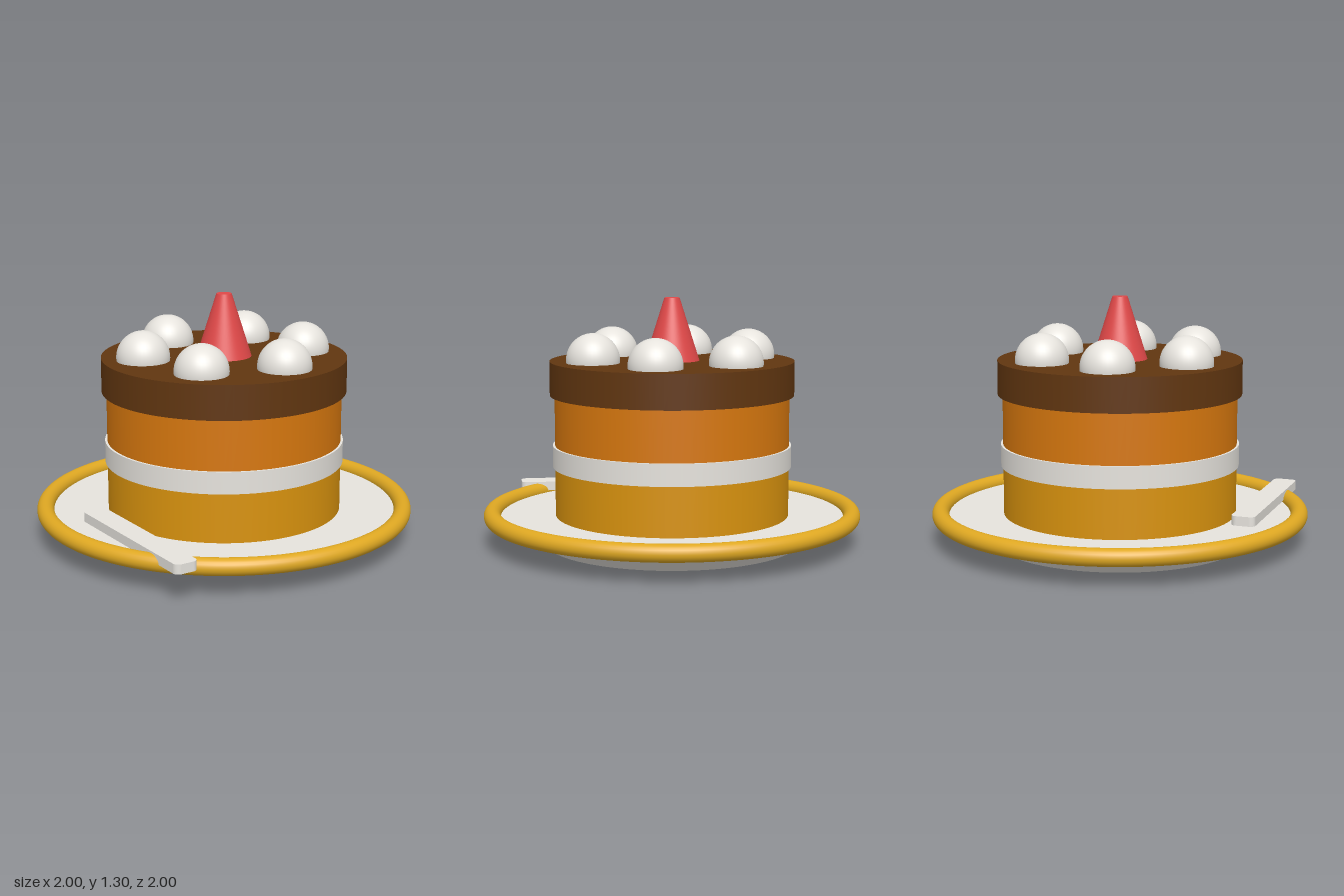
import * as THREE from 'three';

const mat = (name, color) => {
  const m = new THREE.MeshStandardMaterial({ color });
  m.name = name;
  return m;
};

export function createModel() {
  const group = new THREE.Group();
  const cream = mat('cream', 0xe6e3dd);
  const gold = mat('gold', 0xdfa822);
  const yellowSponge = mat('yellow sponge', 0xd8920e);
  const orangeSponge = mat('orange sponge', 0xd6770e);
  const chocolate = mat('chocolate', 0x613610);
  const red = mat('red', 0xe04848);

  const add = (name, geometry, material, x = 0, y = 0, z = 0) => {
    const mesh = new THREE.Mesh(geometry, material);
    mesh.name = name;
    mesh.position.set(x, y, z);
    group.add(mesh);
    return mesh;
  };
  // Round slab from y0 to y1
  const disc = (name, rTop, rBottom, y0, y1, material) =>
    add(name, new THREE.CylinderGeometry(rTop, rBottom, y1 - y0, 96), material, 0, (y0 + y1) / 2, 0);

  // Plate with a gold rim
  disc('plate', 0.97, 0.68, 0, 0.15, cream);
  add('plateRim', new THREE.TorusGeometry(0.955, 0.045, 24, 128).rotateX(Math.PI / 2), gold, 0, 0.155, 0);

  // Cake layers
  disc('lowerSponge', 0.62, 0.62, 0.15, 0.415, yellowSponge);
  disc('creamFilling', 0.632, 0.632, 0.41, 0.525, cream);
  disc('upperSponge', 0.62, 0.62, 0.52, 0.795, orangeSponge);
  disc('chocolateTop', 0.645, 0.645, 0.79, 0.97, chocolate);

  // Ring of cream balls around a cone
  for (let i = 0; i < 6; i++) {
    const a = (i * Math.PI) / 3;
    add('creamBall', new THREE.SphereGeometry(0.14, 40, 28), cream,
      0.433 * Math.cos(a), 0.985, 0.433 * Math.sin(a));
  }
  disc('centreCone', 0.04, 0.146, 0.965, 1.3, red);

  // Flat knife resting on the plate and rim
  const hl = 0.465, hw = 0.063, r = 0.03;
  const outline = new THREE.Shape();
  outline.absarc(hl - r, hw - r, r, 0, Math.PI / 2);
  outline.absarc(-hl + r, hw - r, r, Math.PI / 2, Math.PI);
  outline.absarc(-hl + r, -hw + r, r, Math.PI, Math.PI * 1.5);
  outline.absarc(hl - r, -hw + r, r, Math.PI * 1.5, Math.PI * 2);
  const blade = new THREE.ExtrudeGeometry(outline, { depth: 0.05, bevelEnabled: false, curveSegments: 8 });
  add('knife', blade.rotateX(-Math.PI / 2), cream, 0.163, 0.16, 0.768).rotation.y = -0.206;

  return group;
}
